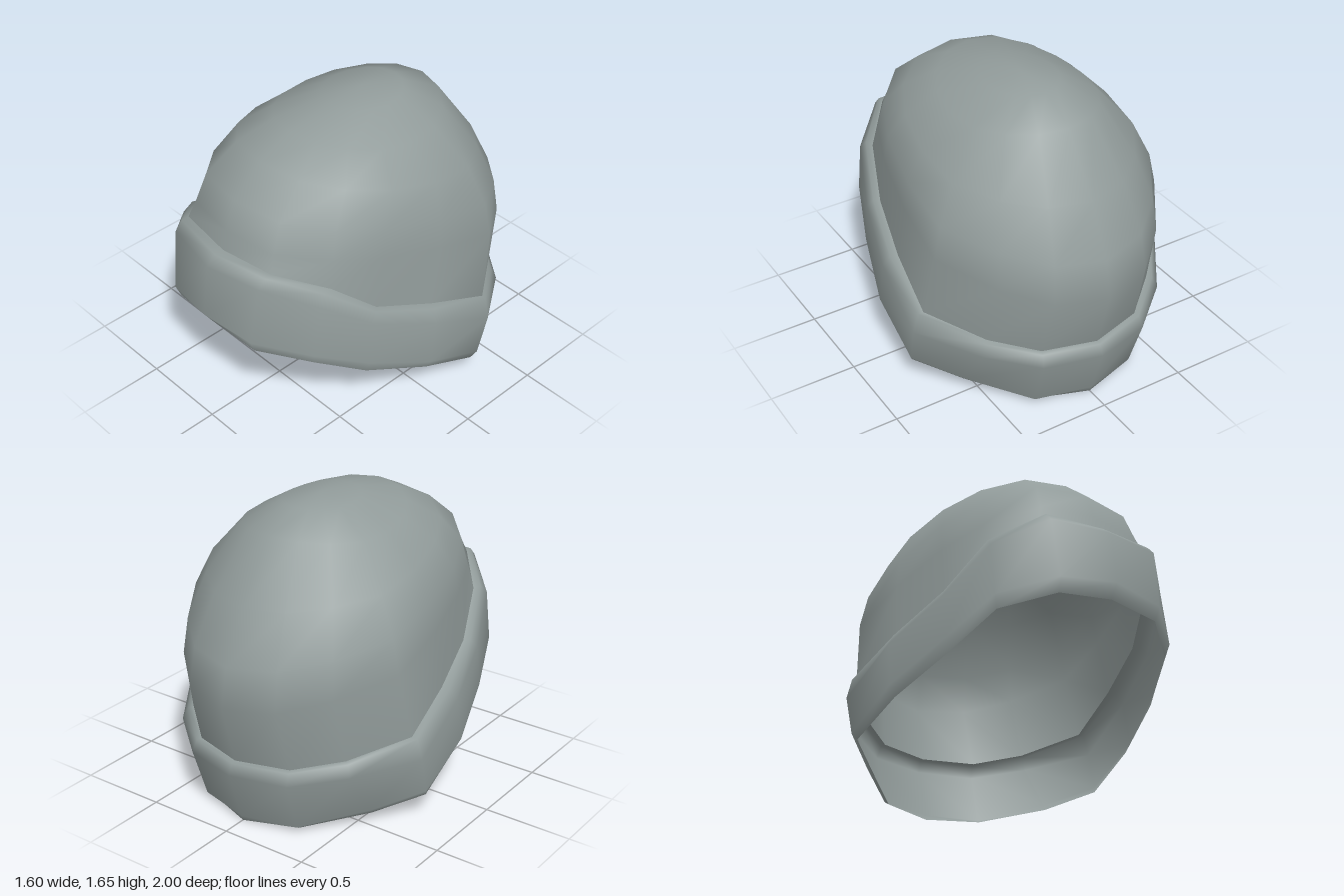
import * as THREE from 'three';

// Each ring is half a loop of 9 points, from the front middle to the back middle.
const lip = [[0, 0.665, 0.95], [0.3, 0.635, 0.92], [0.53, 0.57, 0.71], [0.64, 0.41, 0.44], [0.74, 0.27, 0.08],
  [0.77, 0.14, -0.26], [0.56, 0.05, -0.46], [0.3, 0.01, -0.76], [0, 0, -0.86]];
const low = [[0, 0.74, 1], [0.31, 0.71, 0.95], [0.55, 0.64, 0.73], [0.665, 0.48, 0.44], [0.775, 0.33, 0.08],
  [0.79, 0.18, -0.29], [0.58, 0.09, -0.5], [0.31, 0.03, -0.79], [0, 0.03, -0.87]];
const high = [[0, 1.04, 0.96], [0.33, 1.05, 0.9], [0.55, 0.94, 0.68], [0.665, 0.73, 0.4], [0.765, 0.58, 0.04],
  [0.8, 0.4, -0.35], [0.57, 0.36, -0.68], [0.32, 0.32, -0.885], [0, 0.32, -0.965]];
const tuck = [[0, 1.09, 0.85], [0.33, 1.1, 0.81], [0.52, 0.99, 0.58], [0.61, 0.78, 0.34], [0.69, 0.65, 0],
  [0.74, 0.52, -0.36], [0.52, 0.43, -0.64], [0.3, 0.39, -0.83], [0, 0.385, -0.91]];

// Rolled top of the cuff, between its outer wall and the tuck.
const roll = high.map((p, k) => [
  (p[0] + tuck[k][0]) / 2,
  Math.max((p[1] + tuck[k][1]) / 2 + 0.025, tuck[k][1] - 0.005),
  (p[2] + tuck[k][2]) / 2,
]);

// Crown ring: front and back points, half width, drop at the sides, roundness.
function crownRing([fz, fy, bz, by, width, sag, round]) {
  return tuck.map((p, k) => {
    const a = (k * Math.PI) / 8;
    const u = THREE.MathUtils.lerp(p[0] / 0.74, Math.sin(a), round);
    const t = THREE.MathUtils.lerp((p[2] + 0.91) / 1.76, (1 + Math.cos(a)) / 2, round);
    return [u * width, by + (fy - by) * t + sag * u * u, bz + (fz - bz) * t];
  });
}

// Mirror the half rings and join them into a smooth skin, with an optional pole.
function skin(rings, pole) {
  const pos = [], index = [], n = 16;
  for (const ring of rings) {
    for (let j = 0; j < n; j++) {
      const [x, y, z] = ring[j <= 8 ? j : n - j];
      pos.push(j <= 8 ? x : -x, y, z);
    }
  }
  for (let i = 0; i < rings.length - 1; i++) {
    for (let j = 0; j < n; j++) {
      const a = i * n + j, b = i * n + ((j + 1) % n);
      index.push(a, b, b + n, a, b + n, a + n);
    }
  }
  if (pole) {
    const base = (rings.length - 1) * n;
    pos.push(...pole);
    for (let j = 0; j < n; j++) index.push(base + j, base + ((j + 1) % n), base + n);
  }
  const geo = new THREE.BufferGeometry();
  geo.setAttribute('position', new THREE.Float32BufferAttribute(pos, 3));
  geo.setIndex(index);
  geo.computeVertexNormals();
  return geo;
}

export function createModel() {
  const group = new THREE.Group();
  group.name = 'beanie';
  const knit = new THREE.MeshStandardMaterial({ color: 0x929c9b, side: THREE.DoubleSide });
  knit.name = 'grey knit';

  // Folded cuff
  const cuff = new THREE.Mesh(skin([lip, low, high, roll, tuck]), knit);
  cuff.name = 'cuff';

  // Rounded crown, bulging over the back of the head
  const rings = [
    [0.82, 1.2, -1.0, 0.72, 0.71, 0.02, 0.2],
    [0.76, 1.36, -0.96, 0.94, 0.68, 0, 0.4],
    [0.58, 1.51, -0.82, 1.22, 0.59, -0.03, 0.65],
    [0.38, 1.6, -0.6, 1.54, 0.41, -0.06, 0.85],
    [0.1, 1.645, -0.38, 1.63, 0.2, -0.01, 1],
  ].map(crownRing);
  const crown = new THREE.Mesh(skin([tuck, ...rings], [0, 1.655, -0.14]), knit);
  crown.name = 'crown';

  group.add(cuff, crown);
  return group;
}
